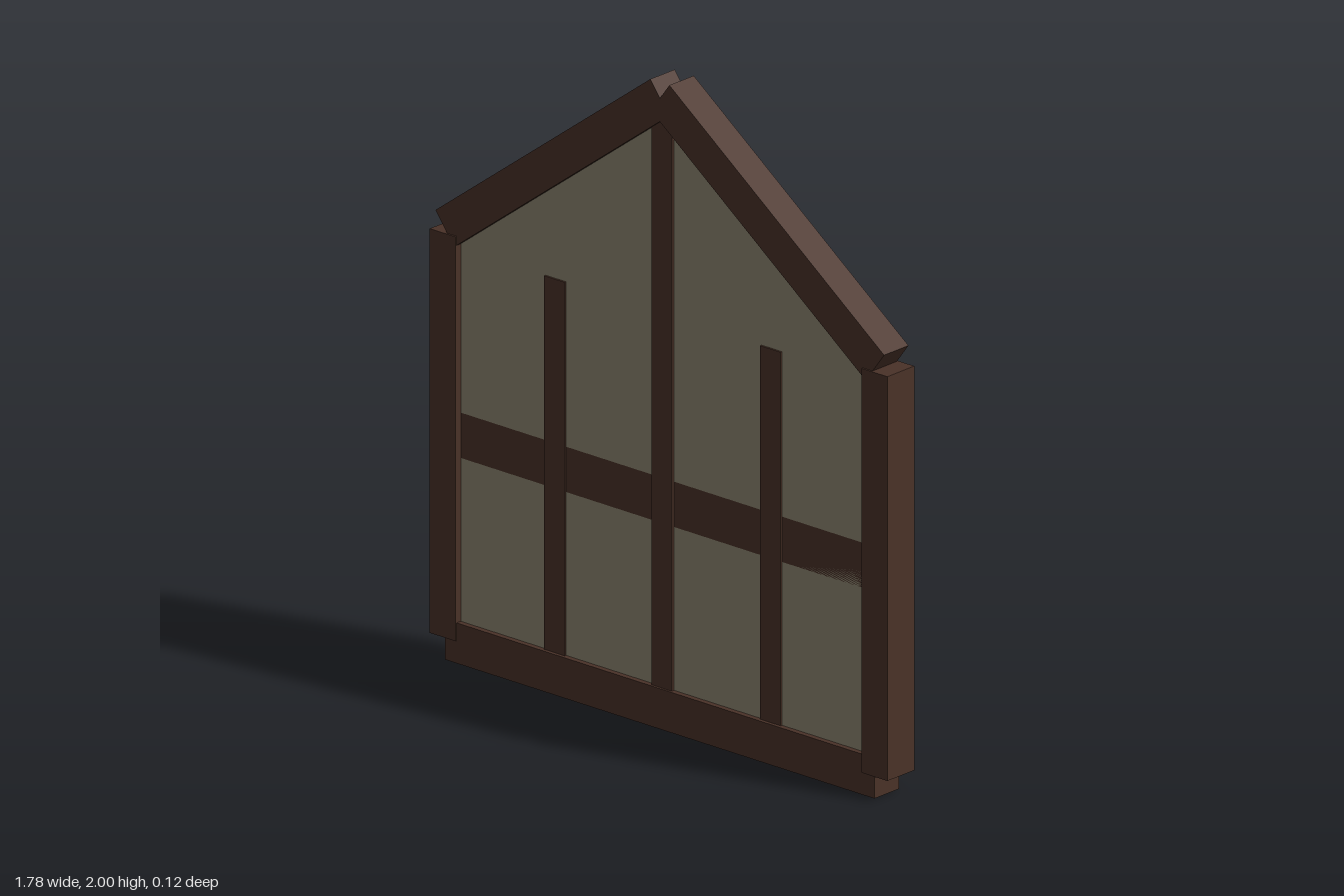
import * as THREE from 'three';

export function createModel() {
  const model = new THREE.Group();
  model.name = 'gabledWindow';

  const wood = new THREE.MeshStandardMaterial({ color: 0x4a3228 });
  wood.name = 'dark wood';
  const pane = new THREE.MeshStandardMaterial({ color: 0x8f8772 });
  pane.name = 'dusty glass';

  // Square-edged timber centred at (x, y), optionally tilted in the wall plane
  function beam(name, width, height, depth, x, y, tilt = 0) {
    const mesh = new THREE.Mesh(new THREE.BoxGeometry(width, height, depth), wood);
    mesh.name = name;
    mesh.position.set(x, y, 0);
    mesh.rotation.z = tilt;
    model.add(mesh);
  }

  const paneDepth = 0.07;

  // Bottom sill, and the crossbar set flush in the glass
  beam('sill', 1.67, 0.125, 0.105, 0, 0.0625);
  beam('crossbar', 1.6, 0.14, paneDepth, 0, 0.7);

  // Central mullion up to the ridge
  beam('centreMullion', 0.08, 1.82, 0.09, 0, 1.01);

  // Mirrored posts, sloping rafters and short mullions
  const slope = Math.atan2(0.62, 0.836);
  for (const side of [-1, 1]) {
    const label = side > 0 ? 'left' : 'right';
    beam(label + 'Post', 0.1, 1.25, 0.116, side * 0.84, 0.695);
    beam(label + 'Rafter', 1.04, 0.12, 0.105, side * 0.419, 1.642, -side * slope);
    beam(label + 'Mullion', 0.08, 1.18, 0.082, side * 0.42, 0.69);
  }

  // Five-sided pane filling the frame
  const outline = new THREE.Shape([
    new THREE.Vector2(-0.8, 0.08),
    new THREE.Vector2(0.8, 0.08),
    new THREE.Vector2(0.8, 1.33),
    new THREE.Vector2(0, 1.92),
    new THREE.Vector2(-0.8, 1.33),
  ]);
  const paneGeometry = new THREE.ExtrudeGeometry(outline, { depth: paneDepth, bevelEnabled: false });
  paneGeometry.translate(0, 0, -paneDepth / 2);
  const glass = new THREE.Mesh(paneGeometry, pane);
  glass.name = 'windowPane';
  model.add(glass);

  return model;
}
